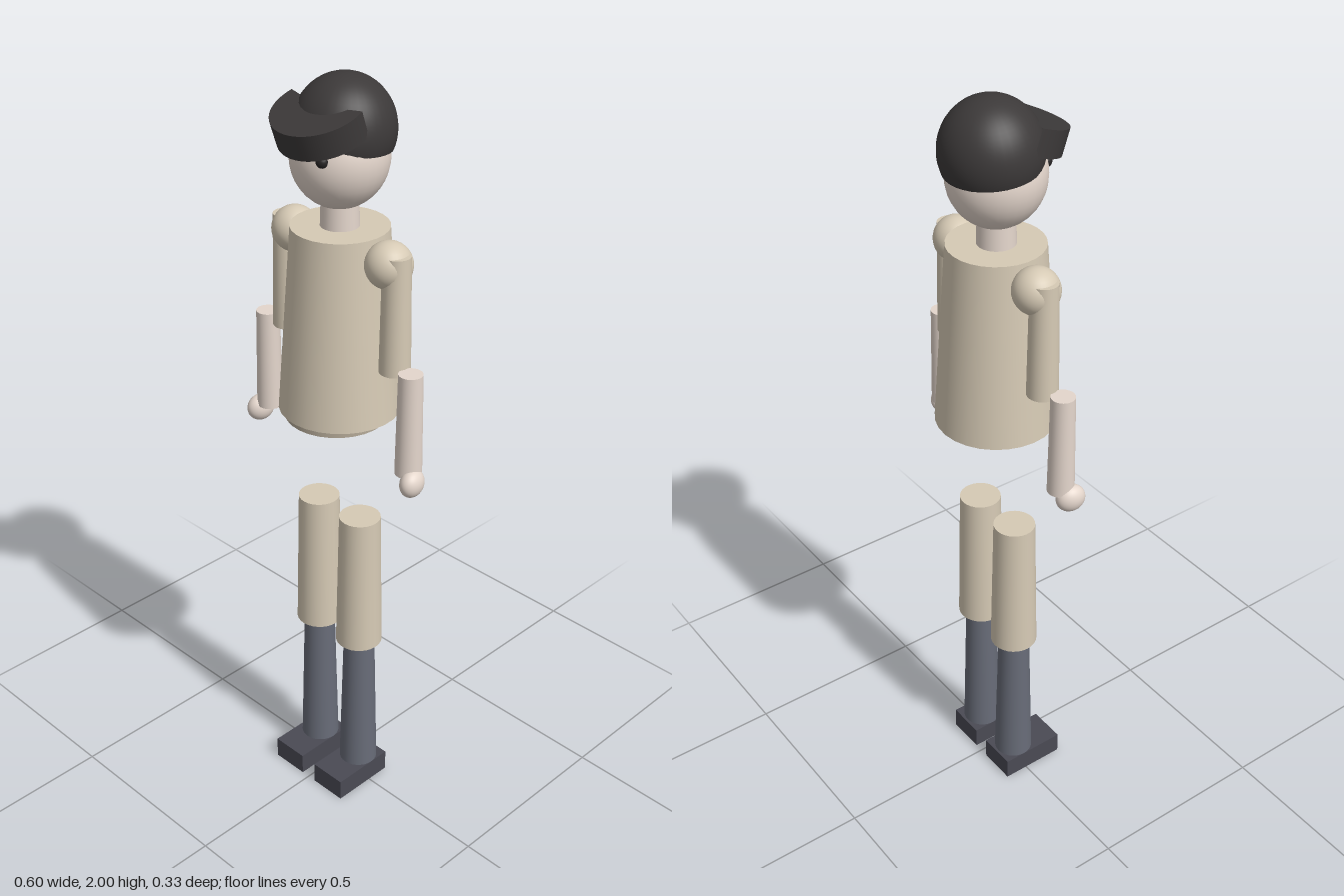
import * as THREE from 'three';

const material = (color, side = THREE.FrontSide) => new THREE.MeshStandardMaterial({ color, side });

export function createModel() {
  const model = new THREE.Group();
  const cloth = material(0xd6cab5);
  const skin = material(0xe4d6cc);
  const trouser = material(0x686c78);
  const shoe = material(0x4a4a54);
  const hair = material(0x3c3939, THREE.DoubleSide);
  const eye = material(0x262424);

  const add = (name, geometry, mat, x, y, z) => {
    const mesh = new THREE.Mesh(geometry, mat);
    mesh.name = name;
    mesh.position.set(x, y, z);
    model.add(mesh);
    return mesh;
  };
  const ball = (name, mat, x, y, z, rx, ry = rx, rz = rx) => {
    const mesh = add(name, new THREE.SphereGeometry(1, 32, 20), mat, x, y, z);
    mesh.scale.set(rx, ry, rz);
    return mesh;
  };
  // Tapered upright cylinder given by its end heights and radii
  const limb = (name, mat, x, z, yTop, yBottom, rTop, rBottom, open = false) =>
    add(name, new THREE.CylinderGeometry(rTop, rBottom, yTop - yBottom, 28, 1, open), mat, x, (yTop + yBottom) / 2, z);

  // Head and neck
  ball('head', skin, 0, 1.811, -0.009, 0.117, 0.125, 0.12);
  limb('neck', skin, 0, -0.009, 1.72, 1.63, 0.045, 0.048);

  // Cap of hair, tipped slightly down at the back
  const capGeometry = new THREE.SphereGeometry(1, 36, 20, 0, Math.PI * 2, 0, Math.PI * 0.6);
  const cap = add('hairCap', capGeometry, hair, 0, 1.872, -0.023);
  cap.scale.set(0.123, 0.128, 0.123);
  cap.rotation.x = -0.1;

  // Thick fringe sloping down towards the front
  const arc = Math.PI + 0.45;
  const fringeGeometry = new THREE.CylinderGeometry(0.115, 0.115, 0.066, 28, 1, false, -arc / 2, arc);
  const fringe = add('fringe', fringeGeometry, hair, 0, 1.909, 0.0475);
  fringe.rotation.x = 0.34;

  // Torso with an open hem below it
  limb('torso', cloth, 0, -0.01, 1.64, 1.16, 0.12, 0.154);
  limb('hem', material(0xb5aa98, THREE.DoubleSide), 0, 0.002, 1.17, 1.14, 0.13, 0.13, true);

  // Paired parts
  for (const [side, s] of [['left', 1], ['right', -1]]) {
    ball(side + 'Eye', eye, s * 0.047, 1.832, 0.094, 0.015);
    ball(side + 'Shoulder', cloth, s * 0.157, 1.585, -0.012, 0.058);
    limb(side + 'UpperArm', cloth, s * 0.184, -0.01, 1.617, 1.32, 0.034, 0.039);
    limb(side + 'Forearm', skin, s * 0.247, 0.002, 1.34, 1.07, 0.03, 0.034);
    const hand = ball(side + 'Hand', skin, s * 0.271, 1.055, 0.014, 0.028, 0.036, 0.038);
    hand.rotation.y = s * 0.2;
    limb(side + 'Thigh', cloth, s * 0.075, -0.008, 0.86, 0.47, 0.054, 0.062);
    limb(side + 'Shin', trouser, s * 0.076, -0.008, 0.457, 0.06, 0.042, 0.052);
    add(side + 'Shoe', new THREE.BoxGeometry(0.104, 0.06, 0.18), shoe, s * 0.076, 0.03, 0.024);
  }
  return model;
}
